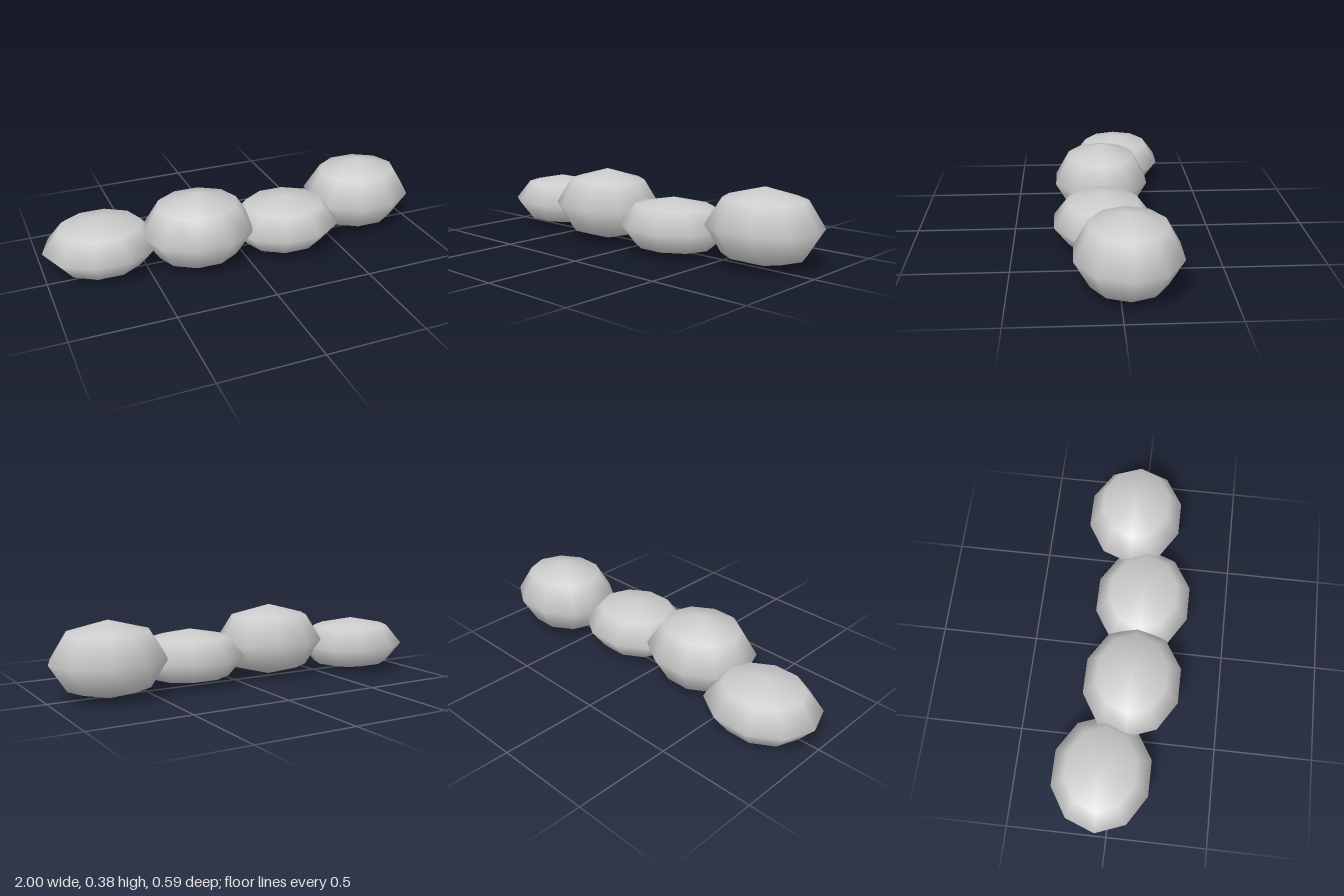
import * as THREE from 'three';

export function createModel() {
  const group = new THREE.Group();
  group.name = 'lumpRow';
  const material = new THREE.MeshStandardMaterial({ color: 0xcccccc });
  const geometry = new THREE.SphereGeometry(1, 10, 4);

  // Flattened ten-sided lumps in a row, alternating low and tall: [x, z, half height]
  const lumps = [
    [-0.709, -0.054, 0.141],
    [-0.237, 0.046, 0.188],
    [0.234, 0.053, 0.141],
    [0.706, -0.037, 0.188],
  ];
  lumps.forEach(([x, z, h], i) => {
    const lump = new THREE.Mesh(geometry, material);
    lump.name = `lump${i + 1}`;
    lump.scale.set(0.292, h, 0.2525);
    lump.position.set(x, h, z);
    group.add(lump);
  });
  return group;
}
